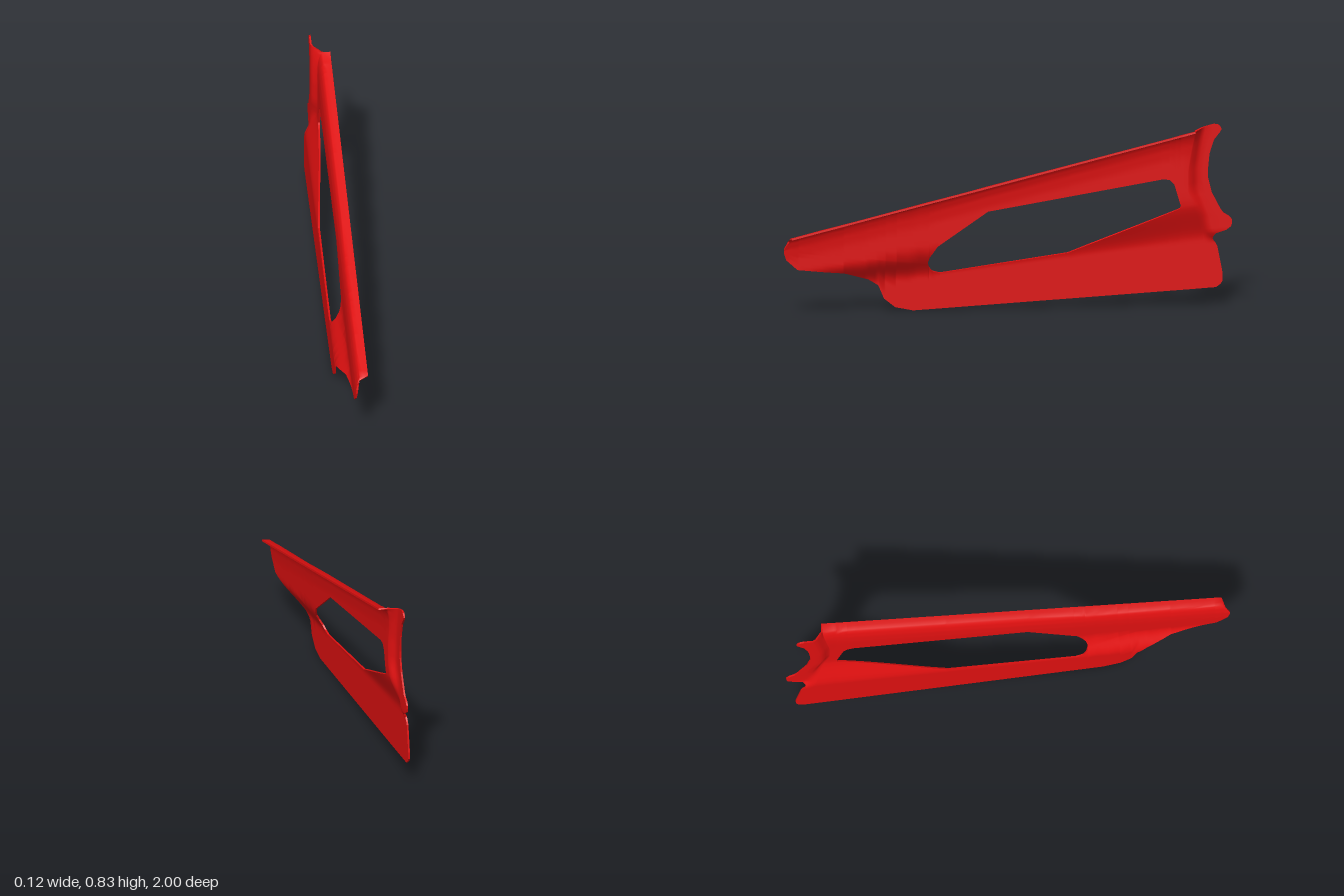
import * as THREE from 'three';
import { mergeVertices } from 'three/addons/utils/BufferGeometryUtils.js';

// Outline curves: [z, y] pairs, running from the front (+z) to the back
const TOP = [[1, 0.3], [0.97, 0.353], [-0.78, 0.793]];
const BOTTOM = [[1, 0.28], [0.99, 0.25], [0.94, 0.205], [0.73, 0.185], [0.62, 0.15], [0.575, 0.12],
  [0.55, 0.06], [0.5, 0.02], [0.42, 0.004], [-0.78, 0.078]];
const HOLE_TOP = [[1, 0.29], [0.357, 0.225], [0.35, 0.25], [0.315, 0.3], [0.09, 0.455], [-0.69, 0.588],
  [-0.72, 0.585], [-0.74, 0.565], [-0.765, 0.48], [-0.77, 0.465], [-0.78, 0.465]];
const HOLE_BOTTOM = [[1, 0.29], [0.357, 0.225], [0.35, 0.2], [0.335, 0.182], [0.3, 0.173], [-0.27, 0.255],
  [-0.75, 0.448], [-0.765, 0.455], [-0.77, 0.465], [-0.78, 0.465]];
// Rear edge with its two rounded tabs, and the line where the rear step starts: [y, z]
const REAR = [[0.83, -0.92], [0.825, -0.945], [0.805, -0.955], [0.785, -0.94], [0.76, -0.92], [0.7, -0.9],
  [0.6, -0.89], [0.52, -0.91], [0.43, -0.957], [0.42, -0.98], [0.4, -1], [0.37, -1], [0.352, -0.98],
  [0.34, -0.93], [0.31, -0.91], [0.28, -0.935], [0.15, -0.96], [0.11, -0.96], [0.088, -0.93]];
const STEP = [[0.82, -0.83], [0.74, -0.815], [0.65, -0.8], [0.54, -0.8], [0.43, -0.845], [0.33, -0.87], [0.08, -0.87]];
// Sideways bend of the top flange: [-distance below the top line, x]
const FLANGE = [[0, 0.056], [-0.004, 0.022], [-0.02, 0.012], [-0.05, 0.004], [-0.1, 0]];

const lerp = THREE.MathUtils.lerp;
const smooth = THREE.MathUtils.smoothstep;

// Linear lookup in a list sorted by falling key
function at(list, key) {
  if (key >= list[0][0]) return list[0][1];
  for (let i = 1; i < list.length; i++) {
    const [k0, v0] = list[i - 1], [k1, v1] = list[i];
    if (key >= k1) return lerp(v0, v1, (k0 - key) / (k0 - k1));
  }
  return list[list.length - 1][1];
}

// Sideways position of the sheet at a given z and y
function sheetX(z, y) {
  const depth = Math.max(0, 0.353 + 0.2515 * (0.97 - z) - y);
  const flange = at(FLANGE, -depth - (z < -0.832 ? 0.012 : 0));
  const low = 0.13 + 0.12 * (0.6 - z), high = 0.2 + 0.165 * (0.9 - z);
  const drop = -0.055 * (1 - smooth(y, low, high));
  let x = flange + drop - 0.004 * (1 - z) * (1 - smooth(-drop, 0, 0.055));
  // rear step, leading to the recessed tabs
  const start = at(STEP, y);
  const step = smooth(start - z, 0, 0.05) * smooth(y, 0.3, 0.345);
  return lerp(x, -0.035, step);
}

// Grid of columns (front to back) and rows (top to bottom), facing +x
function addGrid(columns, positions, index) {
  const base = positions.length / 3, rows = columns[0].length;
  columns.forEach((col) => col.forEach(([z, y]) => positions.push(sheetX(z, y), y, z)));
  for (let i = 0; i + 1 < columns.length; i++) {
    for (let j = 0; j + 1 < rows; j++) {
      const a = base + i * rows + j, b = a + rows;
      index.push(a, a + 1, b + 1, a, b + 1, b);
    }
  }
}

// Thicken a sheet along its normals and close its open edges
function thicken(sheet, half) {
  const p = sheet.attributes.position, n = sheet.attributes.normal, count = p.count;
  const positions = [], index = [], edges = new Map();
  for (const s of [half, -half]) {
    for (let i = 0; i < count; i++) {
      positions.push(p.getX(i) + n.getX(i) * s, p.getY(i) + n.getY(i) * s, p.getZ(i) + n.getZ(i) * s);
    }
  }
  const src = sheet.index.array;
  for (let i = 0; i < src.length; i += 3) {
    const t = [src[i], src[i + 1], src[i + 2]];
    index.push(...t, t[2] + count, t[1] + count, t[0] + count);
    t.forEach((a, k) => edges.set(a + '_' + t[(k + 1) % 3], [a, t[(k + 1) % 3]]));
  }
  // rim walls get their own vertices so that the edge stays sharp
  const copy = (i) => {
    positions.push(positions[i * 3], positions[i * 3 + 1], positions[i * 3 + 2]);
    return positions.length / 3 - 1;
  };
  for (const [a, b] of edges.values()) {
    if (edges.has(b + '_' + a)) continue;
    const [q, r, s, t] = [b, a, a + count, b + count].map(copy);
    index.push(q, r, s, q, s, t);
  }
  const geometry = new THREE.BufferGeometry();
  geometry.setAttribute('position', new THREE.Float32BufferAttribute(positions, 3));
  geometry.setIndex(index);
  geometry.computeVertexNormals();
  return geometry;
}

export function createModel() {
  const positions = [], index = [];

  // Column positions: every outline corner plus an even spread
  const zs = new Set([TOP, BOTTOM, HOLE_TOP, HOLE_BOTTOM].flat().map((c) => c[0]));
  for (let k = 0; k < 36; k++) zs.add(+(0.98 - k * 0.0485).toFixed(3));
  const cols = [...zs].filter((z) => z >= -0.78).sort((a, b) => b - a);

  // Strips above and below the opening; they meet where there is no opening
  const UP = 16, DOWN = 26;
  const upper = (z) => Array.from({ length: UP + 1 }, (_, j) =>
    [z, lerp(at(TOP, z), at(HOLE_TOP, z), (j / UP) ** 1.6)]);
  const lower = (z) => Array.from({ length: DOWN + 1 }, (_, j) =>
    [z, lerp(at(HOLE_BOTTOM, z), at(BOTTOM, z), j / DOWN)]);
  addGrid(cols.map(upper), positions, index);
  addGrid(cols.map(lower), positions, index);

  // Rear end: rows run from the last column to the shaped rear edge
  const last = [...upper(-0.78), ...lower(-0.78).slice(1)];
  const yTop = last[0][1], yBottom = last[last.length - 1][1];
  const rearRows = last.map(([z0, y0]) => {
    const yEnd = lerp(0.088, 0.83, (y0 - yBottom) / (yTop - yBottom));
    const zEnd = at(REAR, yEnd), start = at(STEP, yEnd);
    const stops = [z0, start, start - 0.004, start - 0.015, start - 0.025, start - 0.035, start - 0.05]
      .map((z) => Math.max(z, zEnd + 0.01));
    stops.push(lerp(stops[6], zEnd, 0.5), zEnd);
    return stops.map((z) => [z, lerp(y0, yEnd, (z - z0) / (zEnd - z0))]);
  });
  addGrid(rearRows[0].map((_, i) => rearRows.map((row) => row[i])), positions, index);

  let sheet = new THREE.BufferGeometry();
  sheet.setAttribute('position', new THREE.Float32BufferAttribute(positions, 3));
  sheet.setIndex(index);
  sheet = mergeVertices(sheet, 1e-4);
  // drop triangles that collapsed where the strips meet
  const kept = [], s = sheet.index.array;
  for (let i = 0; i < s.length; i += 3) {
    const [a, b, c] = [s[i], s[i + 1], s[i + 2]];
    if (a !== b && b !== c && c !== a) kept.push(a, b, c);
  }
  sheet.setIndex(kept);
  sheet.computeVertexNormals();

  const material = new THREE.MeshStandardMaterial({ color: 0xe01010, side: THREE.DoubleSide });
  const panel = new THREE.Mesh(thicken(sheet, 0.004), material);
  panel.name = 'sidePanel';

  const group = new THREE.Group();
  group.name = 'fairingPanel';
  group.add(panel);
  return group;
}
